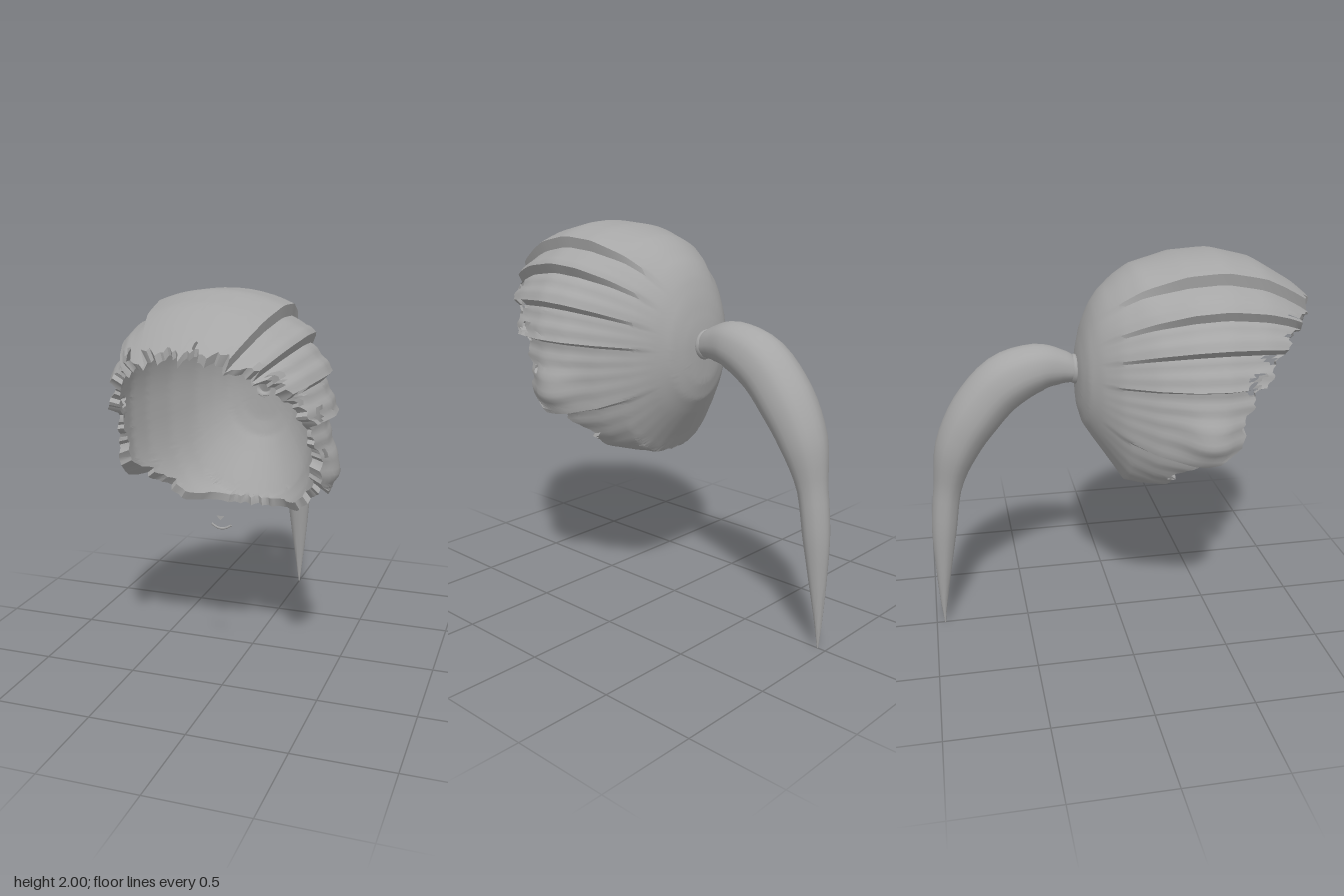
import * as THREE from 'three';
import { toCreasedNormals } from 'three/addons/utils/BufferGeometryUtils.js';

const DEG = Math.PI / 180;

// Piecewise-linear lookup in [key, value] pairs
function lookup(table, k) {
  if (k <= table[0][0]) return table[0][1];
  for (let i = 1; i < table.length; i++) {
    const [k0, v0] = table[i - 1], [k1, v1] = table[i];
    if (k <= k1) return v0 + (v1 - v0) * (k - k0) / (k1 - k0);
  }
  return table[table.length - 1][1];
}

// Skin closed rings of points; skip(row, col) leaves holes
function loft(rows, cols, point, skip = () => false) {
  const pos = [], index = [];
  for (let i = 0; i <= rows; i++)
    for (let j = 0; j < cols; j++) pos.push(...point(i, j));
  for (let i = 0; i < rows; i++)
    for (let j = 0; j < cols; j++) {
      if (skip(i, j)) continue;
      const k = (j + 1) % cols;
      const a = i * cols + j, b = i * cols + k, c = a + cols, d = b + cols;
      index.push(a, b, d, a, d, c);
    }
  const g = new THREE.BufferGeometry();
  g.setAttribute('position', new THREE.Float32BufferAttribute(pos, 3));
  g.setIndex(index);
  return toCreasedNormals(g, 0.6);
}

// Cap extents above, beside and below the knot axis, by z
const AXIS_Y = 1.4;
const TOP = [[-0.21, 0.05], [-0.2, 0.13], [-0.17, 0.25], [-0.13, 0.35], [-0.08, 0.42], [0, 0.49], [0.08, 0.54],
  [0.3, 0.59], [0.5, 0.6], [0.7, 0.55], [0.9, 0.43], [1, 0.35]];
const SIDE = [[-0.21, 0.05], [-0.2, 0.13], [-0.17, 0.21], [-0.11, 0.28], [-0.03, 0.35], [0.13, 0.44], [0.3, 0.5],
  [0.45, 0.52], [0.65, 0.48], [0.8, 0.42], [1, 0.28]];
const BOTTOM = [[-0.21, 0.05], [-0.205, 0.18], [-0.18, 0.27], [-0.13, 0.35], [-0.03, 0.5], [0.02, 0.58], [0.2, 0.6]];
// How far forward the hairline reaches, by angle (90 = crown, -90 = nape)
const RIM = [[-90, 0.03], [-72, 0.08], [-62, 0.21], [-50, 0.27], [-38, 0.37], [-30, 0.55], [-13, 0.59], [0, 0.65],
  [19, 0.76], [40, 0.88], [50, 0.94], [65, 0.98], [90, 1]];
// Lower edges of the overlapping locks
const LOCKS = [90, 60, 42, 23, 3, -36];

// Fold the ring angle so both halves mirror
const elevation = (th) => Math.asin(Math.sin(th)) / DEG;

function baseRadius(th, z) {
  const up = Math.sin(th) >= 0;
  const h = lookup(up ? TOP : BOTTOM, z), w = lookup(SIDE, z);
  const n = up ? 2.1 : 2.1 + 0.6 * Math.min(1, Math.max(0, (z + 0.15) / 0.3));
  return (Math.abs(Math.cos(th) / w) ** n + Math.abs(Math.sin(th) / h) ** n) ** (-1 / n);
}

// Shingled steps, fine strands and the side tufts
function relief(th, z) {
  const e = elevation(th);
  const fade = Math.min(1, Math.max(0, (z + 0.12) / 0.4));
  let out = 0;
  for (let i = 1; i < LOCKS.length; i++) {
    if (e <= LOCKS[i - 1] && e > LOCKS[i]) {
      const s = (LOCKS[i - 1] - e) / (LOCKS[i - 1] - LOCKS[i]);
      out = i === 1 ? 0.035 * s * s : 0.055 * s - 0.022;
    }
  }
  if (e < 50) out += 0.004 * Math.sin(e * 0.7);
  const tuft = 0.05 * Math.exp(-(((e + 23) / 10) ** 2) - ((z - 0.37) / 0.11) ** 2);
  return out * fade + tuft;
}

function rimZ(th) {
  const e = elevation(th);
  const size = e < -50 ? 0.6 : 1;
  const jag = 0.035 * Math.abs(Math.sin(11 * (th - Math.PI / 2))) + 0.025 * Math.abs(Math.sin(29 * (th - Math.PI / 2)));
  return lookup(RIM, e) - jag * size;
}

// Gaps near the hairline: [angle, z, half angle, half z]
const GAPS = [[85, 0.91, 3, 0.025], [46, 0.85, 3, 0.03], [134, 0.84, 3, 0.025], [36, 0.76, 3, 0.03], [146, 0.78, 3, 0.03],
  [20, 0.69, 4, 0.03], [161, 0.69, 4, 0.03], [6, 0.59, 6, 0.03], [175, 0.59, 6, 0.03],
  [-14, 0.5, 2.5, 0.015], [-52, 0.22, 2.5, 0.015], [232, 0.22, 2.5, 0.015]];

function capGeometry() {
  const half = 40, cols = 180, rows = half * 2 + 1;
  const angle = (j) => -Math.PI / 2 + j / cols * Math.PI * 2;
  const depth = (i, j) => {
    const t = (i <= half ? i : rows - i) / half;
    return -0.21 + (rimZ(angle(j)) + 0.21) * t ** 1.6;
  };
  const point = (i, j) => {
    const th = angle(j), z = depth(i, j), inner = i > half;
    const r = inner ? baseRadius(th, z) * 0.94 - 0.008 : baseRadius(th, z) + relief(th, z);
    const back = inner ? 0.02 * (i - half - 1) / half : 0;
    return [r * Math.cos(th), AXIS_Y + r * Math.sin(th), z + back];
  };
  const skip = (i, j) => i !== half && GAPS.some(([a, z, da, dz]) =>
    Math.abs(angle(j + 0.5) / DEG - a) < da && Math.abs((depth(i, j) + depth(i + 1, j)) / 2 - z) < dz);
  return loft(rows, cols, point, skip);
}

// Tail stations: z, y, half depth, half width
const TAIL = [[-0.19, 1.42, 0.05, 0.06], [-0.22, 1.42, 0.065, 0.07], [-0.29, 1.435, 0.09, 0.088], [-0.4, 1.44, 0.12, 0.118],
  [-0.57, 1.375, 0.14, 0.14], [-0.72, 1.22, 0.135, 0.143], [-0.83, 1.03, 0.112, 0.125], [-0.89, 0.81, 0.072, 0.08],
  [-0.92, 0.59, 0.066, 0.07], [-0.94, 0.34, 0.042, 0.045], [-0.953, 0.12, 0.017, 0.018], [-0.955, 0, 0.003, 0.003]];

function tailGeometry() {
  const rows = 44, cols = 28;
  const path = new THREE.CatmullRomCurve3(TAIL.map(([z, y]) => new THREE.Vector3(0, y, z)));
  const size = new THREE.CatmullRomCurve3(TAIL.map(([, , d, w]) => new THREE.Vector3(w, d, 0)));
  const side = new THREE.Vector3(1, 0, 0);
  return loft(rows, cols, (i, j) => {
    const t = i / rows, a = j / cols * Math.PI * 2;
    const p = path.getPoint(t), s = size.getPoint(t);
    const up = path.getTangent(t).cross(side).normalize();
    const strand = 1 + 0.015 * Math.sin(a * 7);
    p.addScaledVector(side, s.x * strand * Math.cos(a)).addScaledVector(up, s.y * strand * Math.sin(a));
    return [p.x, Math.max(0, p.y), p.z];
  });
}

export function createModel() {
  const group = new THREE.Group();
  const hair = new THREE.MeshStandardMaterial({ color: 0xa6a6a6, side: THREE.DoubleSide });
  hair.name = 'hair grey';
  const add = (name, geometry) => {
    const mesh = new THREE.Mesh(geometry, hair);
    mesh.name = name;
    group.add(mesh);
    return mesh;
  };

  add('hairCap', capGeometry());
  add('ponytail', tailGeometry());

  // Gathered ring where the tail leaves the cap
  add('tailKnot', new THREE.TorusGeometry(0.055, 0.022, 8, 24)).position.set(0, 1.42, -0.215);

  // Small loose slivers under the fringe
  const arc = new THREE.QuadraticBezierCurve3(new THREE.Vector3(-0.05, 0.865, 0.485),
    new THREE.Vector3(0, 0.825, 0.49), new THREE.Vector3(0.05, 0.865, 0.485));
  add('lowerSliver', new THREE.TubeGeometry(arc, 10, 0.006, 5));
  const chip = add('upperSliver', new THREE.CircleGeometry(0.025, 3, -Math.PI / 2));
  chip.scale.y = 0.6;
  chip.position.set(0, 0.905, 0.5);
  return group;
}
